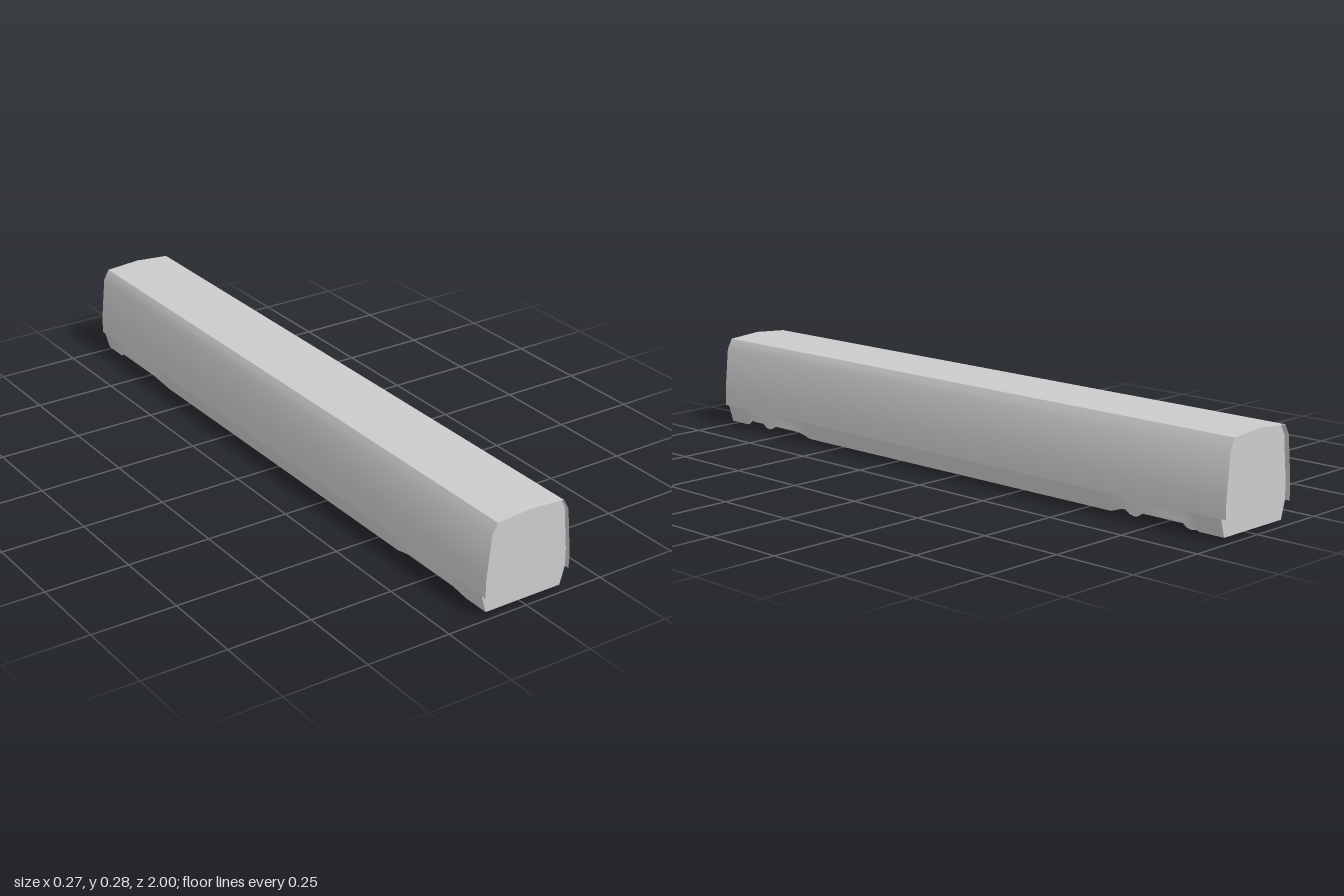
import * as THREE from 'three';
import { toCreasedNormals } from 'three/addons/utils/BufferGeometryUtils.js';

const material = new THREE.MeshStandardMaterial({ color: 0xcccccc, side: THREE.DoubleSide });

// Surface through a row of equally long cross-sections, given in order of rising z.
function loft(sections, crease) {
  const n = sections[0].length;
  const index = [];
  for (let i = 0; i < sections.length - 1; i++) {
    for (let j = 0; j < n - 1; j++) {
      const a = i * n + j, b = a + n;
      index.push(a, b, a + 1, b, b + 1, a + 1);
    }
  }
  const geometry = new THREE.BufferGeometry();
  geometry.setAttribute('position', new THREE.Float32BufferAttribute(sections.flat(2), 3));
  geometry.setIndex(index);
  return toCreasedNormals(geometry, crease);
}

function addMesh(parent, geometry, name) {
  const mesh = new THREE.Mesh(geometry, material);
  mesh.name = name;
  parent.add(mesh);
  return mesh;
}

export function createModel() {
  const model = new THREE.Group();
  model.name = 'railCarriage';

  // Half outline of the body, from the sill up to the roof ridge
  const half = [[0.137, 0.065], [0.137, 0.115], [0.124, 0.245], [0.107, 0.276]];
  const outline = [
    ...half.map(([x, y]) => [-x, y]),
    [0, 0.284],
    ...half.slice().reverse(),
  ];

  // Side walls and roof
  const section = (z) => outline.map(([x, y]) => [x, y, z]);
  addMesh(model, loft([section(-1), section(1)], 0.6), 'bodyShell');

  // Skirts: lower edge rises and spreads outward over each bogie
  const low = [0.122, 0.013], high = [0.137, 0.036];
  const halfStations = [[0.35, low], [0.605, low], [0.67, high], [0.865, high], [0.905, low], [0.985, low]];
  const stations = [
    ...halfStations.map(([z, p]) => [-z, p]).reverse(),
    ...halfStations,
  ];
  for (const side of [1, -1]) {
    const sections = stations.map(([z, [x, y]]) => {
      const row = [[side * 0.137, 0.065, z], [side * x, y, z]];
      return side > 0 ? row : row.reverse();
    });
    addMesh(model, loft(sections, 0.8), side > 0 ? 'leftSkirt' : 'rightSkirt');
  }

  // End walls, set slightly inside the shell
  const wallShape = new THREE.Shape(
    [[-low[0], low[1]], ...outline, low].map(([x, y]) => new THREE.Vector2(x, y))
  );
  for (const end of [1, -1]) {
    const wall = addMesh(model, new THREE.ShapeGeometry(wallShape), end > 0 ? 'frontWall' : 'backWall');
    wall.position.z = end * 0.985;
    if (end < 0) wall.rotation.y = Math.PI;
  }

  // Bogies: flat side frames with wheel discs just inside them
  for (const end of [1, -1]) {
    const bogie = new THREE.Group();
    bogie.name = end > 0 ? 'frontBogie' : 'backBogie';
    bogie.position.z = end * 0.752;
    for (const side of [1, -1]) {
      const frame = addMesh(bogie, new THREE.PlaneGeometry(0.32, 0.065), 'bogieFrame');
      frame.position.set(side * 0.098, 0.05, 0);
      frame.rotation.y = side * Math.PI / 2;
      for (const dz of [-0.098, 0.098]) {
        const wheel = addMesh(bogie, new THREE.CircleGeometry(0.039, 16, Math.PI / 2), 'wheel');
        wheel.position.set(side * 0.085, 0.039, dz);
        wheel.rotation.y = side * Math.PI / 2;
      }
    }
    model.add(bogie);
  }
  return model;
}
